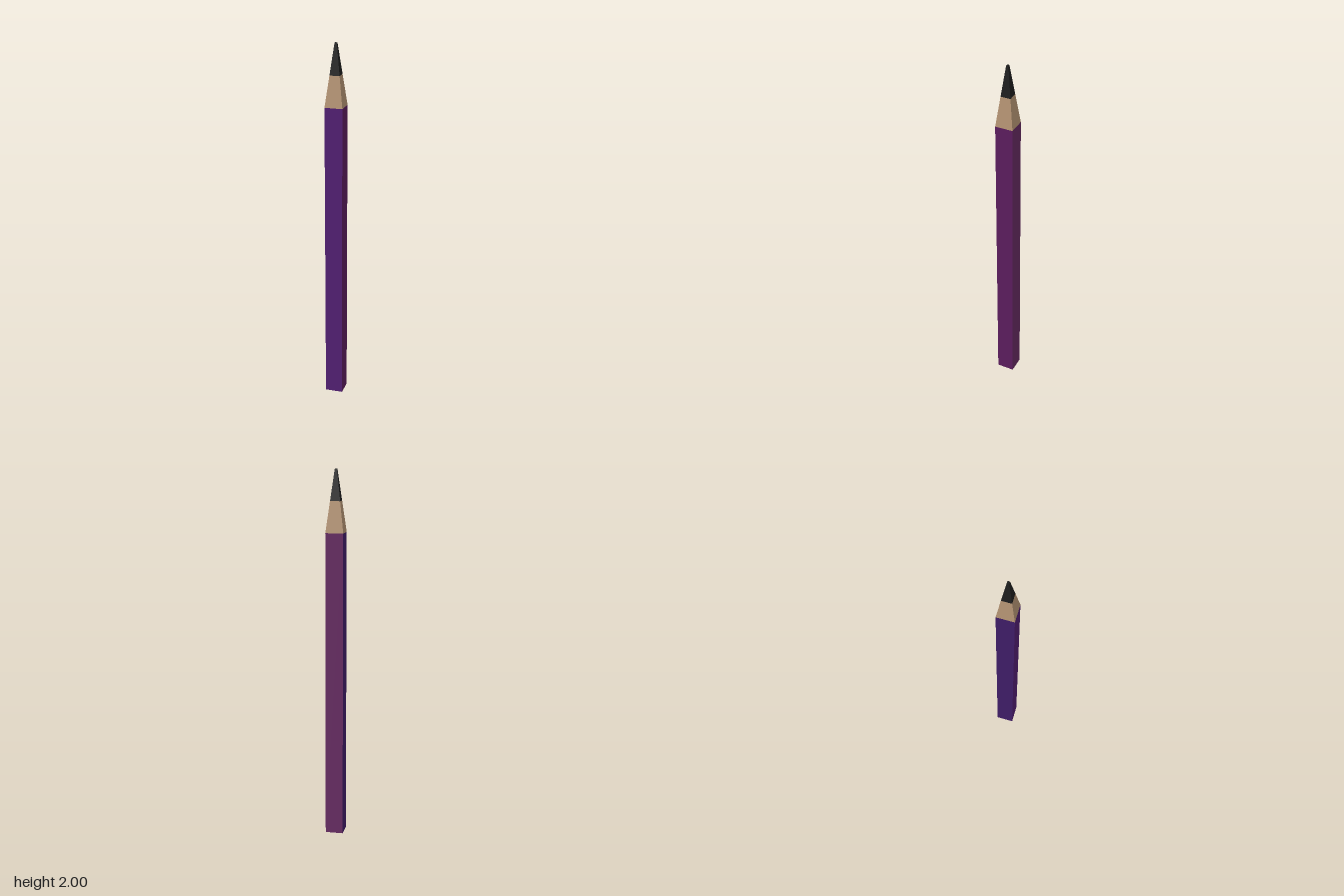
import * as THREE from 'three';

const BODY_TOP = 1.67, LEAD_BASE = 1.835, TIP = 2;
const HALF = 0.048, LEAD_HALF = 0.027, TIP_HALF = 0.006;

const paint = (color) => new THREE.MeshStandardMaterial({ color, flatShading: true });

// The pencil leans very slightly forward: shift z with height
function lean(geometry) {
  const p = geometry.attributes.position;
  for (let i = 0; i < p.count; i++) {
    p.setZ(i, p.getZ(i) + 0.0035 * (p.getY(i) - BODY_TOP / 2));
  }
  geometry.computeVertexNormals();
  return geometry;
}

// Square section between two heights, tapering from one half width to another
function squareSection(name, y0, y1, half0, half1, material) {
  const geometry = new THREE.BoxGeometry(2, y1 - y0, 2);
  geometry.translate(0, (y0 + y1) / 2, 0);
  const p = geometry.attributes.position;
  for (let i = 0; i < p.count; i++) {
    const half = p.getY(i) > (y0 + y1) / 2 ? half1 : half0;
    p.setX(i, p.getX(i) * half);
    p.setZ(i, p.getZ(i) * half);
  }
  const mesh = new THREE.Mesh(lean(geometry), material);
  mesh.name = name;
  return mesh;
}

export function createModel() {
  const group = new THREE.Group();
  group.name = 'pencil';

  // Painted sides in varying purples, bare grey end (+x, -x, +y, -y, +z, -z)
  const sides = [0x5a1c5c, 0x3f1c66, 0xb09070, 0x666666, 0x501e70, 0x642a60].map(paint);
  group.add(squareSection('body', 0, BODY_TOP, HALF, HALF, sides));

  // Sharpened wood and lead
  group.add(squareSection('sharpenedWood', BODY_TOP, LEAD_BASE, HALF, LEAD_HALF, paint(0xb09070)));
  group.add(squareSection('leadTip', LEAD_BASE, TIP, LEAD_HALF, TIP_HALF, paint(0x1c1c1c)));
  return group;
}
